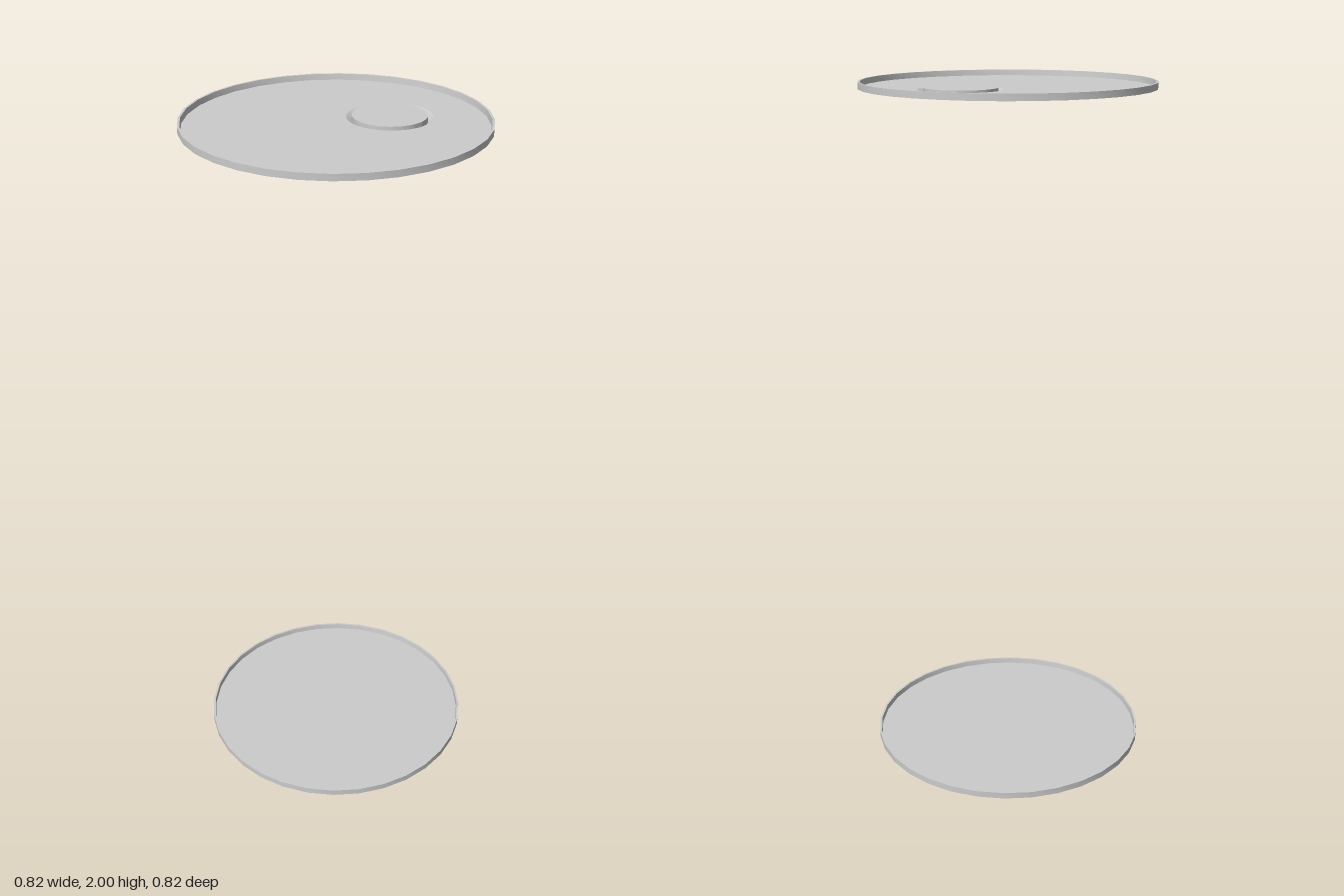
import * as THREE from 'three';
import { toCreasedNormals } from 'three/addons/utils/BufferGeometryUtils.js';

const SIDES = 32;
const material = new THREE.MeshStandardMaterial({ color: 0xcccccc, side: THREE.DoubleSide });

function lathe(name, profile, sides) {
  const points = profile.map(([r, y]) => new THREE.Vector2(r, y));
  const mesh = new THREE.Mesh(toCreasedNormals(new THREE.LatheGeometry(points, sides), 0.5), material);
  mesh.name = name;
  return mesh;
}

// Flat round sheet with an optional round hole
function panel(name, radius, y, hole) {
  const ring = (cx, cy, r, n) => Array.from({ length: n }, (_, i) => {
    const a = (i / n) * Math.PI * 2;
    return new THREE.Vector2(cx + r * Math.cos(a), cy + r * Math.sin(a));
  });
  const shape = new THREE.Shape(ring(0, 0, radius, SIDES));
  if (hole) shape.holes.push(new THREE.Path(ring(hole.x, -hole.z, hole.r, 64)));
  const mesh = new THREE.Mesh(new THREE.ShapeGeometry(shape).rotateX(-Math.PI / 2), material);
  mesh.name = name;
  mesh.position.y = y;
  return mesh;
}

// Thin upright rim around a lid, from y0 to y1
function rim(name, y0, y1) {
  return lathe(name, [[0.4, y0], [0.408, y0], [0.408, y1], [0.402, y1], [0.4, y0]], SIDES);
}

export function createModel() {
  const model = new THREE.Group();
  const turn = -0.026;
  const spout = { x: 0.147, z: 0.053, r: 0.115 };

  // Bottom lid
  const bottom = new THREE.Group();
  bottom.name = 'bottomLid';
  bottom.add(rim('bottomRim', 0, 0.018), panel('bottomPanel', 0.402, 0.002));
  bottom.rotation.y = turn;
  model.add(bottom);

  // Top lid with a round opening
  const top = new THREE.Group();
  top.name = 'topLid';
  const topRim = rim('topRim', 1.982, 2);
  const topPanel = panel('topPanel', 0.402, 1.984, spout);
  topRim.rotation.y = turn;
  top.add(topRim, topPanel);
  model.add(top);

  // Sunken dish and the plug sitting in it
  const opening = new THREE.Group();
  opening.name = 'opening';
  opening.position.set(spout.x, 0, spout.z);
  opening.add(
    lathe('dish', [[0, 1.967], [0.088, 1.967], [0.1, 1.973], [0.109, 1.981], [spout.r, 1.984]], 64),
    lathe('plug', [[0.1, 1.973], [0.1, 1.989], [0, 1.989]], 64),
  );
  model.add(opening);

  return model;
}
